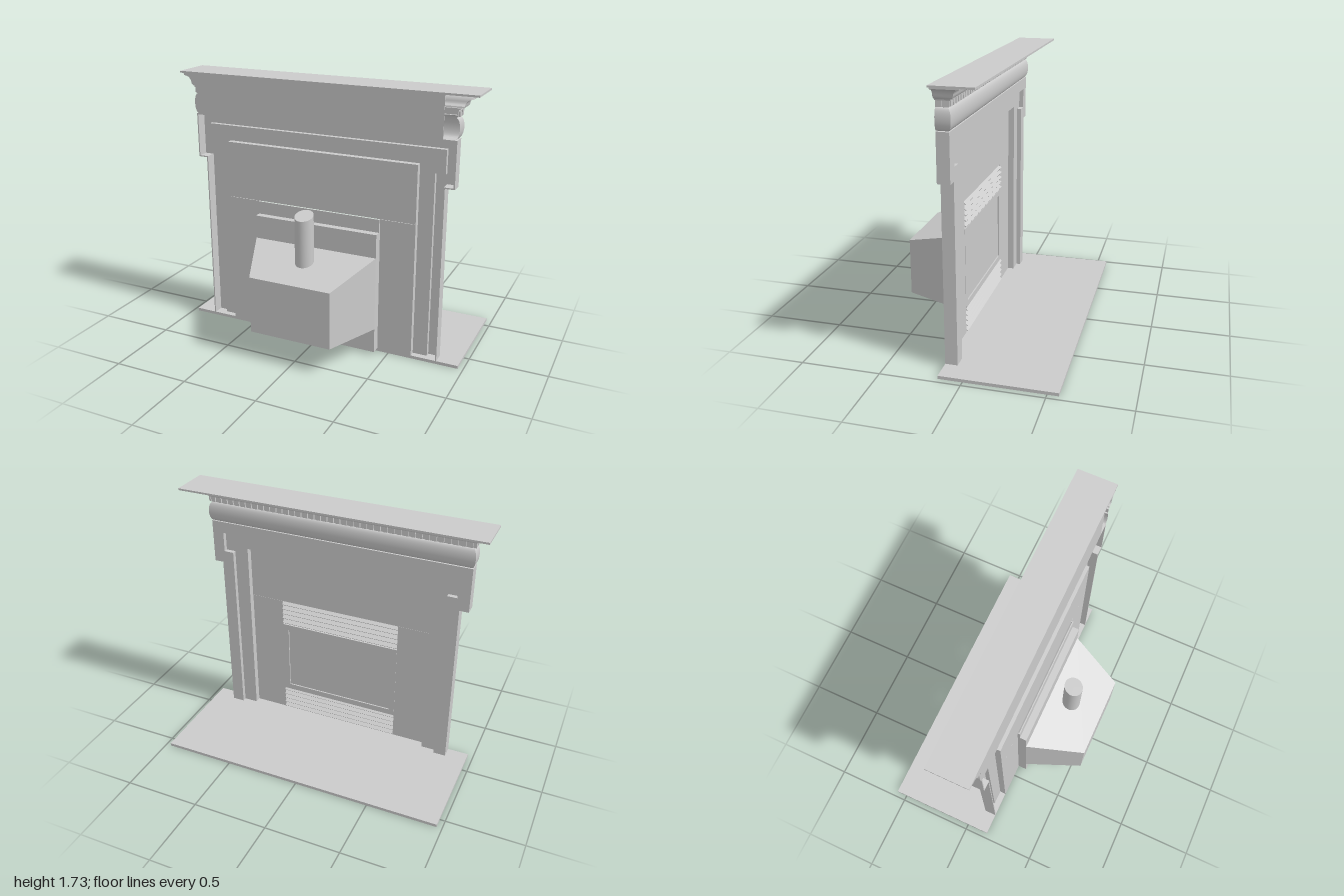
import * as THREE from 'three';
import { toCreasedNormals } from 'three/addons/utils/BufferGeometryUtils.js';

const mat = new THREE.MeshStandardMaterial({ color: 0xcccccc, side: THREE.DoubleSide });

export function createModel() {
  const model = new THREE.Group();
  model.name = 'fireplace';

  const add = (name, geometry, parent = model) => {
    const mesh = new THREE.Mesh(geometry, mat);
    mesh.name = name;
    parent.add(mesh);
    return mesh;
  };
  const group = (name) => {
    const g = new THREE.Group();
    g.name = name;
    model.add(g);
    return g;
  };
  // Box given by its limits on each axis
  const box = (name, x0, x1, y0, y1, z0, z1, parent) => {
    const g = new THREE.BoxGeometry(x1 - x0, y1 - y0, z1 - z0);
    g.translate((x0 + x1) / 2, (y0 + y1) / 2, (z0 + z1) / 2);
    return add(name, g, parent);
  };
  // Flat plate extruded from z0 to z1
  const plate = (name, points, z0, z1, parent) => {
    const shape = new THREE.Shape(points.map(([x, y]) => new THREE.Vector2(x, y)));
    const g = new THREE.ExtrudeGeometry(shape, { depth: z1 - z0, bevelEnabled: false });
    return add(name, g.translate(0, 0, z0), parent);
  };
  // Door-shaped frame between two half contours (listed from foot to top, +x side)
  const full = (half) => [...half, ...half.map(([x, y]) => [-x, y]).reverse()];
  const frame = (name, outer, inner, z0, z1, parent) =>
    plate(name, [...full(outer), ...full(inner).reverse()], z0, z1, parent);

  // Hearth slab
  box('hearth', -0.965, 0.965, 0, 0.02, -0.57, 0.15);

  // Stepped, hollow-backed surround with eared corners
  const surround = group('surround');
  const base = 0.02, t = 0.008;
  const eared = (xLeg, xEar, yEar, yTop, d = 0) =>
    [[xLeg - d, base], [xLeg - d, yEar + d], [xEar - d, yEar + d], [xEar - d, yTop - d]];
  const outer = (d) => eared(0.825, 0.885, 1.165, 1.46, d);
  const step = (d) => eared(0.75, 0.815, 1.24, 1.39, d);
  const opening = (d) => [[0.655 - d, base], [0.655 - d, 1.29 - d]];
  frame('casingFace', outer(0), step(t), 0.072, 0.08, surround);
  frame('casingSide', outer(0), outer(t), 0.08, 0.15, surround);
  frame('stepReveal', step(0), step(t), 0.08, 0.11, surround);
  frame('innerFace', step(0), opening(t), 0.102, 0.11, surround);
  frame('openingReveal', opening(0), opening(t), 0.11, 0.15, surround);

  // Facing around the insert
  const facing = group('facing');
  box('headerPanel', -0.648, 0.648, 0.915, 1.285, 0.143, 0.15, facing);
  for (const s of [-1, 1])
    box('sidePanel', Math.min(s * 0.425, s * 0.648), Math.max(s * 0.425, s * 0.648), base, 0.913, 0.145, 0.15, facing);

  // Cornice profile: [outward offset, height]
  const X = 0.88, Z = 0.074;
  const profile = [[0, 1.46]];
  for (let i = 0; i <= 12; i++) {
    const a = (i / 12) * Math.PI;
    profile.push([-0.008 + 0.024 * Math.sin(a), 1.527 - 0.065 * Math.cos(a)]);
  }
  profile.push([0, 1.594], [0, 1.632], [0.012, 1.632], [0.014, 1.64], [0.024, 1.644], [0.032, 1.65]);
  for (let i = 0; i <= 6; i++) {
    const a = (i / 6) * Math.PI / 2;
    profile.push([0.036 + 0.046 * (1 - Math.cos(a)), 1.655 + 0.047 * Math.sin(a)]);
  }
  profile.push([0.09, 1.706], [0.09, 1.713], [0.1, 1.718]);

  // Profile swept along the front and mitred back along both ends
  const path = ([d, y]) => [[-X - d, y, 0.15], [-X - d, y, Z - d], [X + d, y, Z - d], [X + d, y, 0.15]];
  const verts = [];
  for (let i = 0; i < profile.length - 1; i++) {
    const a = path(profile[i]), b = path(profile[i + 1]);
    for (let k = 0; k < 3; k++)
      verts.push(...a[k], ...b[k], ...b[k + 1], ...a[k], ...b[k + 1], ...a[k + 1]);
  }
  const sweep = new THREE.BufferGeometry();
  sweep.setAttribute('position', new THREE.Float32BufferAttribute(verts, 3));
  const mantel = group('mantel');
  add('corniceMoulding', toCreasedNormals(sweep, 0.6), mantel);
  box('mantelShelf', -1, 1, 1.718, 1.73, -0.11, 0.15, mantel);

  // Backing board, following the moulding at one end and stopping short at the other
  plate('backBoard', [[0.8, 1.46], [0.8, 1.72], ...profile.slice().reverse().map(([d, y]) => [-X - d, y])],
    0.146, 0.15, mantel);

  // Dentils along the front and ends
  const count = 40, pitch = (2 * X) / count;
  for (let i = 0; i < count; i++) {
    const x = -X + (i + 0.5) * pitch;
    box('dentil', x - 0.014, x + 0.014, 1.598, 1.632, Z - 0.012, Z, mantel);
  }
  for (const x of [-X - 0.012, X])
    for (const z of [0.068, 0.112])
      box('endDentil', x, x + 0.012, 1.598, 1.632, z, z + 0.03, mantel);

  // Fire insert: back plate, glazed front and two banks of louvres
  const insert = group('insert');
  box('insertBackPlate', -0.425, 0.425, base, 0.915, 0.158, 0.165, insert);
  for (const x of [-0.425, 0.419]) box('insertSide', x, x + 0.006, base, 0.915, 0.145, 0.158, insert);
  box('glass', -0.38, 0.38, 0.23, 0.69, 0.152, 0.158, insert);
  for (const [y0, y1] of [[0.19, 0.23], [0.69, 0.73]])
    box('glassRail', -0.419, 0.419, y0, y1, 0.143, 0.158, insert);
  for (const x of [-0.419, 0.38]) box('glassStile', x, x + 0.039, 0.23, 0.69, 0.143, 0.158, insert);
  for (const y0 of [0.02, 0.735])
    for (let i = 0; i < 5; i++) {
      const slat = add('louvre', new THREE.BoxGeometry(0.838, 0.006, 0.032), insert);
      slat.position.set(0, y0 + 0.02 + i * 0.036, 0.148);
      slat.rotation.x = -0.6;
    }

  // Firebox behind the wall: flat casing and tapered hood
  const firebox = group('firebox');
  box('fireboxCasing', -0.425, 0.425, base, 0.83, 0.165, 0.21, firebox);
  const slope = (z) => 0.56 + ((0.57 - z) / 0.36) * 0.115;
  const hood = new THREE.BoxGeometry(1, 1, 1);
  const p = hood.attributes.position;
  for (let i = 0; i < p.count; i++) {
    const z = p.getZ(i) > 0 ? 0.57 : 0.21;
    p.setXYZ(i, Math.sign(p.getX(i)) * (z > 0.5 ? 0.275 : 0.425), p.getY(i) > 0 ? slope(z) : 0.185, z);
  }
  hood.computeVertexNormals();
  add('hood', hood, firebox);

  // Flue pipe cut at the slope of the hood at both ends
  const flue = new THREE.CylinderGeometry(0.06, 0.06, 1, 32).translate(0, 0, 0.35);
  const q = flue.attributes.position;
  for (let i = 0; i < q.count; i++)
    q.setY(i, slope(q.getZ(i)) + (q.getY(i) > 0 ? 0.307 : 0));
  add('flue', flue, firebox);

  return model;
}
